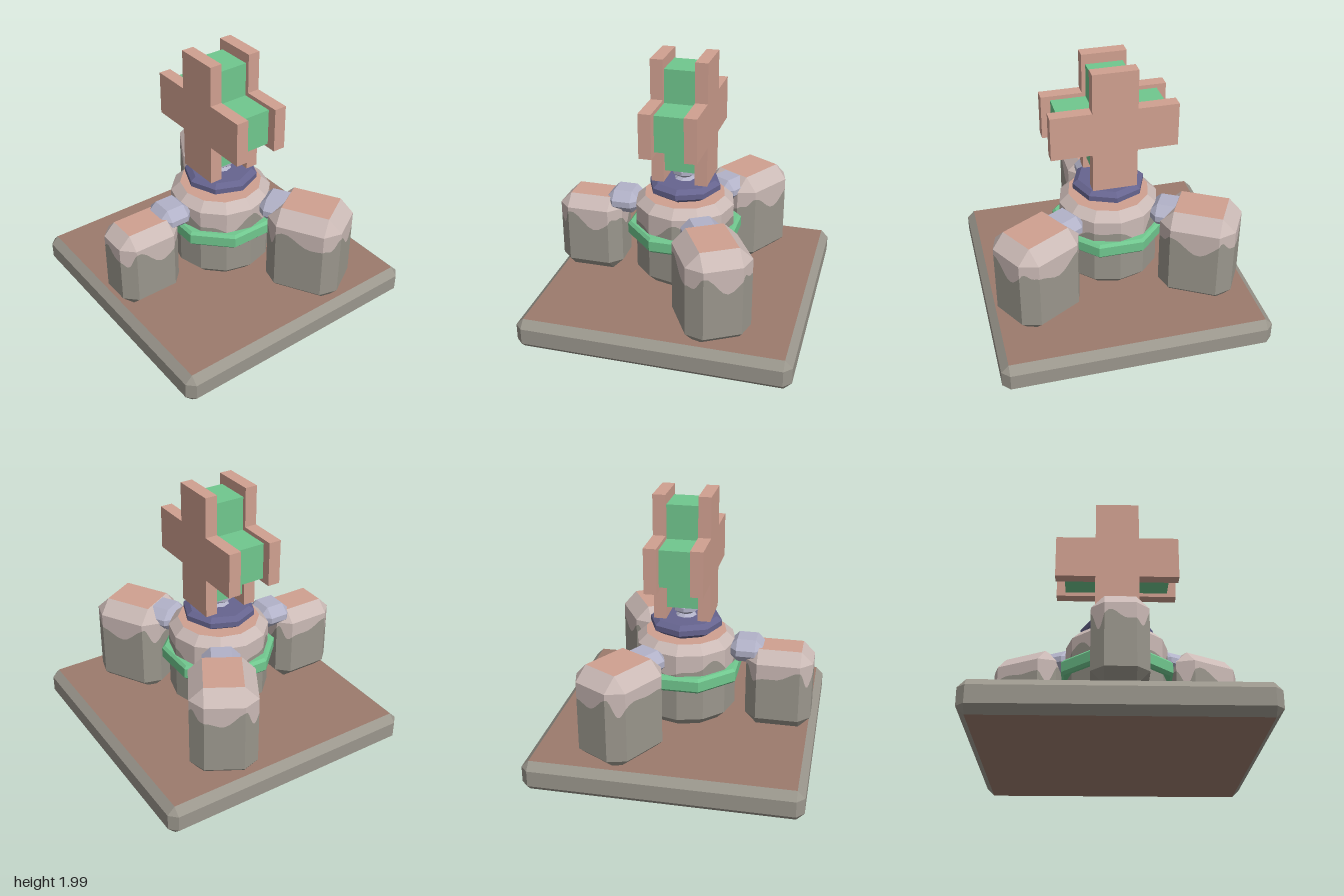
import * as THREE from 'three';

const mat = (name, color, side = THREE.FrontSide) => {
  const m = new THREE.MeshStandardMaterial({ color, side });
  m.name = name;
  return m;
};

export function createModel() {
  const stone = mat('stone grey', 0x9a968c);
  const frost = mat('pale frost', 0xcbbab6);
  const copper = mat('light copper', 0xd0a090);
  const brown = mat('dark copper', 0x9c7b6d);
  const green = mat('green', 0x70c78e);
  const lilac = mat('lilac', 0xb2b2c8);
  const violet = mat('deep violet', 0x66648f);

  const model = new THREE.Group();
  model.name = 'crossMonument';

  const add = (parent, name, geometry, material) => {
    const mesh = new THREE.Mesh(geometry, material);
    mesh.name = name;
    parent.add(mesh);
    return mesh;
  };
  const group = (name) => {
    const g = new THREE.Group();
    g.name = name;
    model.add(g);
    return g;
  };

  // Flat-shaded skin through closed rings, listed from bottom to top
  const loft = (rings) => {
    const pos = [];
    const tri = (a, b, c) => {
      const n = b.clone().sub(a).cross(c.clone().sub(a));
      if (n.length() > 1e-9) for (const p of [a, b, c]) pos.push(p.x, p.y, p.z);
    };
    for (let r = 0; r + 1 < rings.length; r++) {
      const lo = rings[r], hi = rings[r + 1];
      for (let i = 0; i < lo.length; i++) {
        const j = (i + 1) % lo.length;
        tri(lo[i], lo[j], hi[j]);
        tri(lo[i], hi[j], hi[i]);
      }
    }
    const g = new THREE.BufferGeometry();
    g.setAttribute('position', new THREE.Float32BufferAttribute(pos, 3));
    g.computeVertexNormals();
    return g;
  };
  const centre = (ring) => {
    const c = new THREE.Vector3();
    ring.forEach((p) => c.add(p));
    c.divideScalar(ring.length);
    return ring.map(() => c);
  };
  const refine = (ring, n) => ring.flatMap((p, i) =>
    Array.from({ length: n }, (_, k) => p.clone().lerp(ring[(i + 1) % ring.length], k / n)));

  // Four rings of a box with all edges chamfered by c
  const boxRings = (w, d, y0, y1, c) => {
    const a = w / 2, b = d / 2, e = a - c, f = b - c;
    const at = (list, y) => list.map(([x, z]) => new THREE.Vector3(x, y, z));
    const rect = [[-e, f], [e, f], [e, f], [e, -f], [e, -f], [-e, -f], [-e, -f], [-e, f]];
    const oct = [[-e, b], [e, b], [a, f], [a, -f], [e, -b], [-e, -b], [-a, -f], [-a, f]];
    return [at(rect, y0), at(oct, y0 + c), at(oct, y1 - c), at(rect, y1)];
  };
  const circle = (n, r, y) => Array.from({ length: n }, (_, i) => {
    const t = (i / n) * Math.PI * 2;
    return new THREE.Vector3(r * Math.sin(t), y, r * Math.cos(t));
  });

  // Stone block whose pale frosting ends in a wavy line, with a copper top
  const frostedBlock = (parent, rings, waveY, phase) => {
    const [r0, r1, r2, r3] = rings.map((r) => refine(r, 8));
    const wave = r1.map((p, i) => {
      const t = (i / r1.length) * Math.PI * 2;
      const y = waveY + 0.045 * Math.sin(5 * t + phase) + 0.03 * Math.sin(8 * t + 1);
      return new THREE.Vector3(p.x, y, p.z);
    });
    add(parent, 'stoneWall', loft([centre(r0), r0, r1, wave]), stone);
    add(parent, 'frosting', loft([wave, r2, r3]), frost);
    add(parent, 'copperTop', loft([r3, centre(r3)]), copper);
  };

  // Square base slab
  const base = group('base');
  const b = boxRings(2, 2, 0, 0.23, 0.055);
  add(base, 'slabEdge', loft(b), stone);
  add(base, 'slabTop', loft([b[3], centre(b[3])]), brown);
  add(base, 'slabBottom', loft([centre(b[0]), b[0]]), brown);

  // Central drum with its green band
  const drum = group('drum');
  frostedBlock(drum, [circle(12, 0.305, 0.275), circle(12, 0.375, 0.345),
    circle(12, 0.375, 0.86), circle(12, 0.305, 0.925)], 0.74, 0);
  const band = [[0.36, 0.585], [0.412, 0.585], [0.433, 0.605], [0.433, 0.68], [0.412, 0.7], [0.36, 0.7]];
  add(drum, 'greenBand', loft(band.map(([r, y]) => circle(8, r, y))), green).rotation.y = Math.PI / 8;

  // Three pods around the drum, each joined by a lilac connector
  for (let i = 0; i < 3; i++) {
    const front = i === 0;
    const arm = group(['frontPod', 'leftRearPod', 'rightRearPod'][i]);
    arm.rotation.y = (i * Math.PI * 2) / 3;
    const pod = new THREE.Group();
    pod.name = 'pod';
    pod.position.z = 0.715;
    arm.add(pod);
    frostedBlock(pod, front ? boxRings(0.38, 0.49, 0.235, 0.85, 0.087)
      : boxRings(0.48, 0.56, 0.18, 0.905, 0.1), front ? 0.66 : 0.69, i * 2);
    const c = boxRings(0.28, 0.27, 0.725, 0.902, 0.066);
    add(arm, 'connector', loft([centre(c[0]), ...c, centre(c[3])]), lilac).position.z = 0.465;
  }

  // Turned collar and neck under the cross
  const turned = (name, profile, sides, material) => {
    const rings = profile.map(([r, y]) => circle(sides, r, y));
    add(model, name, loft([centre(rings[0]), ...rings, centre(rings[rings.length - 1])]), material);
  };
  turned('collar', [[0.2, 0.925], [0.27, 0.97], [0.27, 1.01], [0.23, 1.04]], 8, violet);
  turned('neck', [[0.085, 1.035], [0.055, 1.06], [0.1, 1.09], [0.1, 1.12], [0.075, 1.145]], 8, lilac);

  // Cross: green core between two copper plates
  const crossGeometry = (halfStem, halfArm, y0, y1, y2, y3, z0, z1) => {
    const shape = new THREE.Shape([[-halfStem, y0], [halfStem, y0], [halfStem, y1], [halfArm, y1],
      [halfArm, y2], [halfStem, y2], [halfStem, y3], [-halfStem, y3], [-halfStem, y2],
      [-halfArm, y2], [-halfArm, y1], [-halfStem, y1]].map(([x, y]) => new THREE.Vector2(x, y)));
    return new THREE.ExtrudeGeometry(shape, { depth: z1 - z0, bevelEnabled: false }).translate(0, 0, z0);
  };
  const cross = group('cross');
  add(cross, 'crossCore', crossGeometry(0.135, 0.393, 1.14, 1.39, 1.66, 1.91, -0.118, 0.118), green);
  add(cross, 'frontPlate', crossGeometry(0.164, 0.462, 1.06, 1.36, 1.69, 1.985, 0.116, 0.208), copper);
  add(cross, 'backPlate', crossGeometry(0.164, 0.462, 1.06, 1.36, 1.69, 1.985, -0.208, -0.116), copper);

  return model;
}
